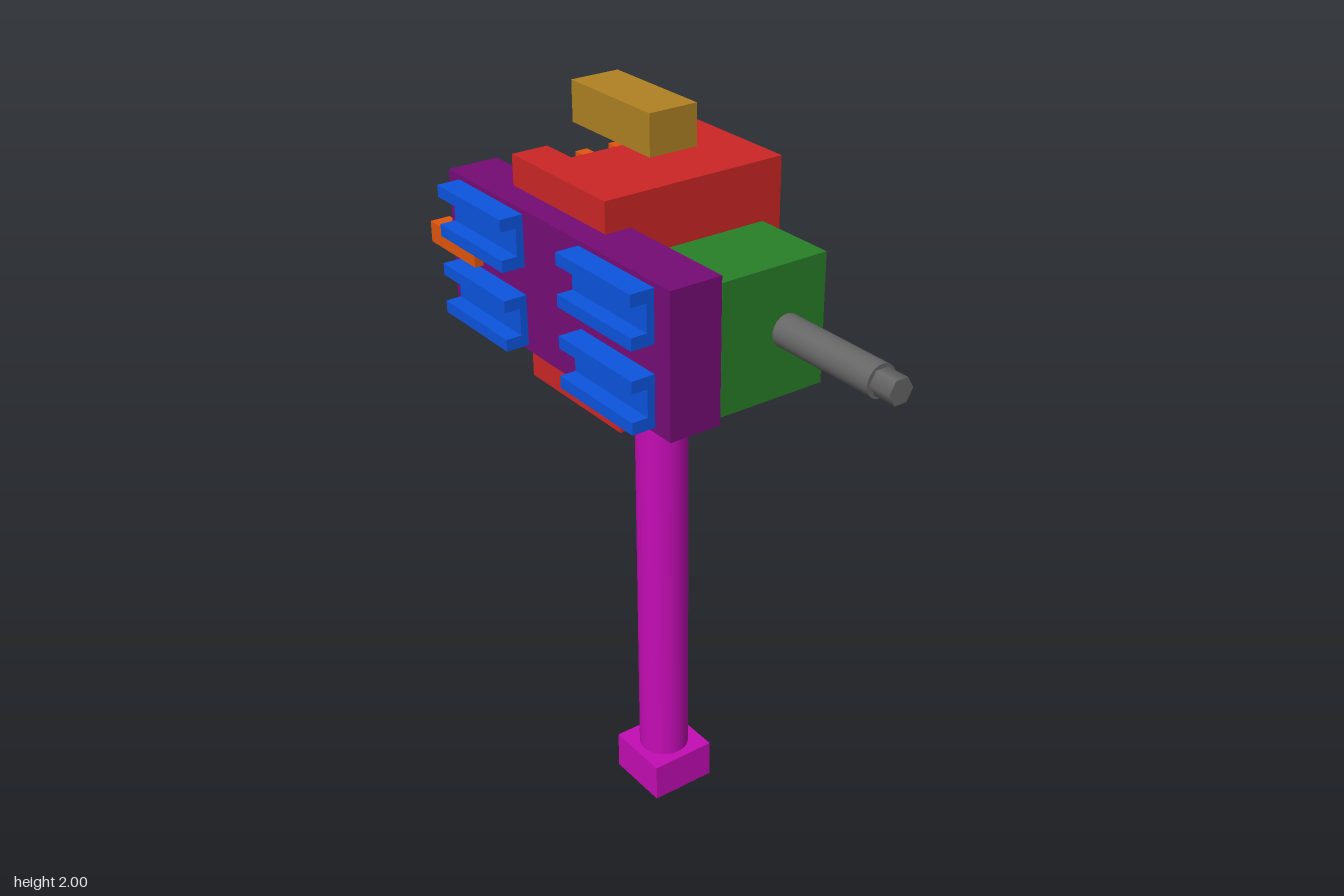
import * as THREE from 'three';

const mat = (color) => new THREE.MeshStandardMaterial({ color });
const RED = mat(0xcc2626), PURPLE = mat(0x760c76), BLUE = mat(0x0c55e0), ORANGE = mat(0xe0560e);
const GREEN = mat(0x287f28), TEAL = mat(0x2e8b57), GOLD = mat(0xb08222), MAGENTA = mat(0xc40cb4), GREY = mat(0x666666);

export function createModel() {
  const model = new THREE.Group();

  const add = (name, geometry, material, parent = model) => {
    const mesh = new THREE.Mesh(geometry, material);
    mesh.name = name;
    parent.add(mesh);
    return mesh;
  };
  // Box given by its limits on each axis
  const box = (name, material, [x0, x1], [y0, y1], [z0, z1]) =>
    add(name, new THREE.BoxGeometry(x1 - x0, y1 - y0, z1 - z0), material)
      .position.set((x0 + x1) / 2, (y0 + y1) / 2, (z0 + z1) / 2);
  const shapeOf = (pts) => new THREE.Shape(pts.map(([x, y]) => new THREE.Vector2(x, y)));

  // Main body: stacked layers of a C-shaped plan, with a side groove and a slot underneath
  const body = new THREE.Group();
  body.name = 'body';
  model.add(body);
  const layer = (y0, y1, front, right, slot = []) => {
    const plan = shapeOf([
      [-0.42, front], [-0.42, 0.09], [-0.315, 0.09], [-0.315, -0.25], [-0.42, -0.25],
      [-0.42, -0.32], [right, -0.32], ...slot, [right, front],
    ]);
    const g = new THREE.ExtrudeGeometry(plan, { depth: y1 - y0, bevelEnabled: false });
    g.rotateX(Math.PI / 2).translate(0, y1, 0);
    add('bodyLayer', g, RED, body);
  };
  layer(1.27, 1.365, 0.16, -0.03, [[-0.03, -0.19], [-0.29, -0.19], [-0.29, 0.04], [-0.03, 0.04]]);
  layer(1.365, 1.38, 0.16, -0.03);
  layer(1.38, 1.555, 0.19, -0.03);
  layer(1.555, 1.67, 0.19, -0.07);
  layer(1.67, 1.865, 0.19, -0.03);

  // Blocks around the body
  box('slidePlate', PURPLE, [-0.612, 0.308], [1.425, 1.787], [0.12, 0.258]);
  box('screwBlock', GREEN, [0.083, 0.309], [1.445, 1.77], [-0.173, 0.12]);
  box('topBlock', GOLD, [-0.455, -0.132], [1.895, 2], [-0.144, -0.008]);
  box('backingPlate', TEAL, [-0.365, -0.315], [1.3, 1.84], [-0.25, 0.09]);
  box('sideStop', ORANGE, [-0.683, -0.47], [1.58, 1.635], [0.227, 0.282]);

  // U-shaped channels: width, height, base thickness, flange width, length
  const channel = (w, h, base, flange, length) => {
    const a = w / 2, b = a - flange;
    return new THREE.ExtrudeGeometry(
      shapeOf([[-a, 0], [a, 0], [a, h], [b, h], [b, base], [-b, base], [-b, h], [-a, h]]),
      { depth: length, bevelEnabled: false }).translate(0, 0, -length / 2);
  };
  const X = new THREE.Vector3(1, 0, 0), Y = new THREE.Vector3(0, 1, 0), Z = new THREE.Vector3(0, 0, 1);

  // Four horizontal channels on the front
  const frontChannel = channel(0.132, 0.062, 0.02, 0.031, 0.288)
    .applyMatrix4(new THREE.Matrix4().makeBasis(Y, Z, X));
  for (const x of [-0.417, 0.107])
    for (const y of [1.505, 1.709])
      add('frontChannel', frontChannel, BLUE).position.set(x, y, 0.258);

  // Four upright channels in the side recess
  const sideChannel = channel(0.132, 0.085, 0.04, 0.034, 0.24)
    .applyMatrix4(new THREE.Matrix4().makeBasis(Z, X.clone().negate(), Y.clone().negate()));
  for (const z of [-0.174, 0.022])
    for (const y of [1.437, 1.702])
      add('sideChannel', sideChannel, ORANGE).position.set(-0.365, y, z);

  // Screw with a hexagonal end
  const rod = (name, r, x0, x1, sides) => {
    const g = new THREE.CylinderGeometry(r, r, x1 - x0, sides).rotateZ(Math.PI / 2);
    add(name, g, GREY).position.set((x0 + x1) / 2, 1.608, -0.064);
  };
  rod('screwShaft', 0.041, -0.08, 0.622, 24);
  rod('screwHexEnd', 0.034, 0.622, 0.683, 6);

  // Upright post with square foot and head
  box('postFoot', MAGENTA, [-0.28, -0.09], [0, 0.112], [-0.17, 0.02]);
  box('postHead', MAGENTA, [-0.28, -0.09], [1.227, 1.364], [-0.17, 0.02]);
  add('post', new THREE.CylinderGeometry(0.07, 0.07, 1.115, 32), MAGENTA).position.set(-0.185, 0.6695, -0.075);

  return model;
}
